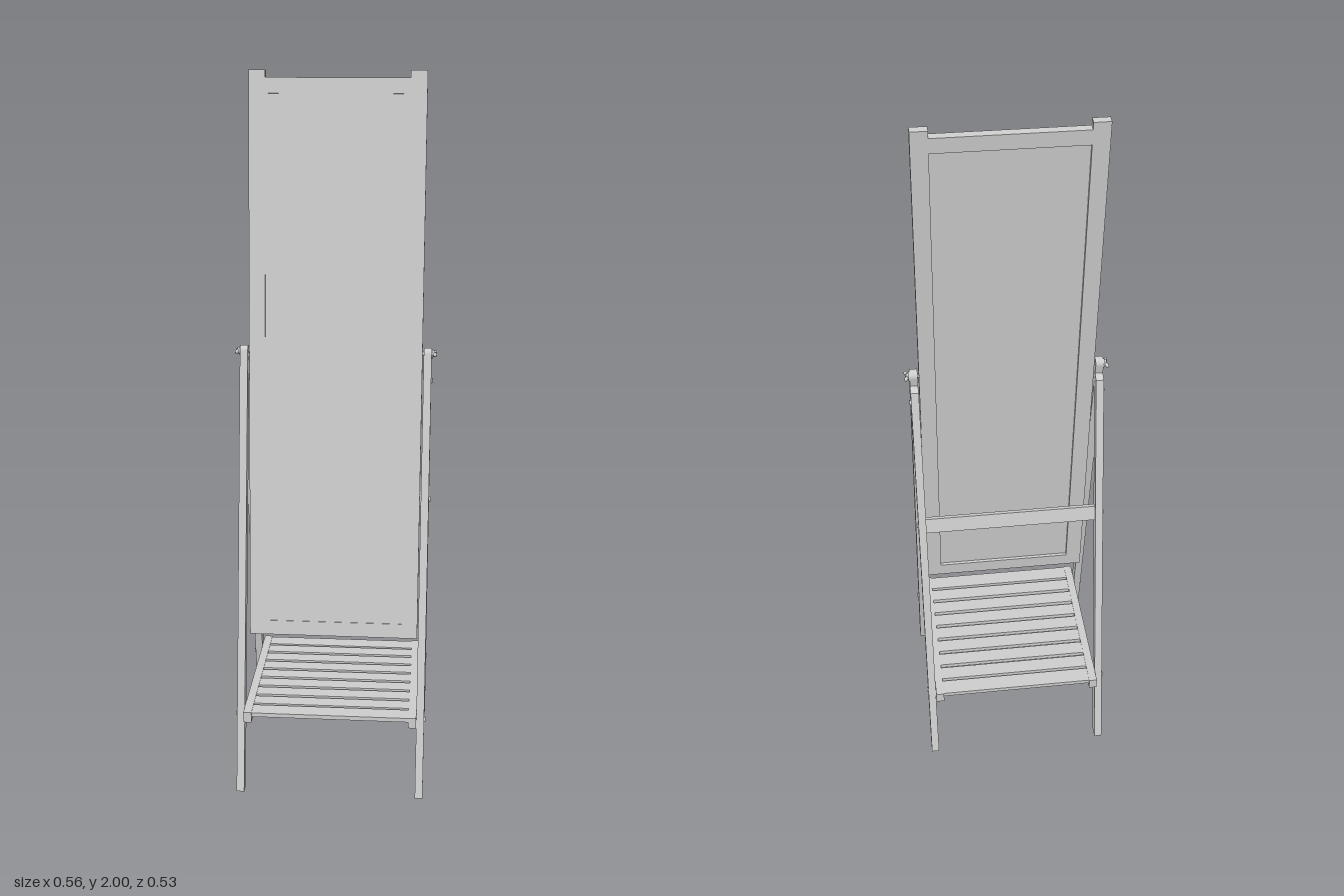
import * as THREE from 'three';

const grey = new THREE.MeshStandardMaterial({ color: 0xcccccc });

function add(parent, name, geometry, x = 0, y = 0, z = 0) {
  const mesh = new THREE.Mesh(geometry, grey);
  mesh.name = name;
  mesh.position.set(x, y, z);
  parent.add(mesh);
  return mesh;
}

const box = (parent, name, w, h, d, x, y, z) =>
  add(parent, name, new THREE.BoxGeometry(w, h, d), x, y, z);

// Cylinder lying along x
function rod(parent, name, r, length, x, y, z, sides = 16) {
  const g = new THREE.CylinderGeometry(r, r, length, sides).rotateZ(Math.PI / 2);
  return add(parent, name, g, x, y, z);
}

// Side profile drawn as (z, y), given a thickness centred on x
function sidePlate(parent, name, shape, thickness, x) {
  const g = new THREE.ExtrudeGeometry(shape, { depth: thickness, bevelEnabled: false, curveSegments: 10 });
  g.translate(0, 0, -thickness / 2).rotateY(-Math.PI / 2);
  return add(parent, name, g, x);
}

export function createModel() {
  const model = new THREE.Group();
  model.name = 'standingMirror';
  const legX = 0.256, legT = 0.022, half = 0.0165;
  const pivotY = 1.24, pivotZ = 0.007;

  // Front leg: flat foot, rounded head around the pivot
  const lean = Math.atan2(0.242, pivotY);
  const front = new THREE.Shape();
  front.moveTo(0.249 - half, 0);
  front.lineTo(0.249 + half, 0);
  front.absarc(pivotZ, pivotY, half, lean, Math.PI + lean, false);
  front.closePath();

  // Back leg: its head is trimmed to butt against the front leg
  const back = new THREE.Shape([
    [-0.268, 0], [-0.234, 0], [0.002, 1.18], [-0.002, 1.212], [-0.024, 1.2],
  ].map(([z, y]) => new THREE.Vector2(z, y)));

  for (const s of [-1, 1]) {
    const side = new THREE.Group();
    side.name = s > 0 ? 'leftSide' : 'rightSide';
    model.add(side);
    sidePlate(side, 'frontLeg', front, legT, s * legX);
    sidePlate(side, 'backLeg', back, legT, s * legX);
    box(side, 'shelfSideRail', 0.023, 0.031, 0.511, s * 0.2335, 0.231, -0.002);

    // Screw heads
    for (const [y, z] of [[0.22, 0.206], [0.22, -0.208], [0.78, -0.09], [1.16, -0.01]])
      rod(side, 'screwHead', 0.007, 0.005, s * 0.2685, y, z);

    // Pivot bolt with wing nut
    const knob = new THREE.Group();
    knob.name = 'wingNut';
    knob.position.set(0, pivotY, pivotZ - 0.004);
    side.add(knob);
    rod(knob, 'pivotBolt', 0.005, 0.055, s * 0.2505, 0, 0);
    rod(knob, 'washer', 0.013, 0.003, s * 0.2685, 0, 0, 24);
    rod(knob, 'nutHub', 0.009, 0.007, s * 0.2725, 0, 0);
    for (const t of [-1, 1]) {
      const wing = add(knob, 'wing', new THREE.SphereGeometry(1, 12, 8), s * 0.276, 0, t * 0.013);
      wing.scale.set(0.005, 0.006, 0.009);
      wing.rotation.y = s * t * 0.4;
    }
  }

  // Shelf slats, the two outer ones slightly wider
  for (let i = -4; i <= 4; i++) {
    const outer = Math.abs(i) === 4;
    box(model, 'shelfSlat', 0.446, 0.012, outer ? 0.05 : 0.045, 0, 0.239, i * 0.057 - 0.001);
  }
  // Tie rods under the shelf
  for (const z of [0.206, -0.208]) rod(model, 'tieRod', 0.004, 0.5, 0, 0.22, z, 10);

  // Brace between the back legs
  const brace = box(model, 'backBrace', 0.49, 0.045, 0.014, 0, 0.78, -0.091);
  brace.rotation.x = 0.197;

  // Tilting mirror
  const mirror = new THREE.Group();
  mirror.name = 'mirror';
  mirror.position.set(0, pivotY, 0.006);
  mirror.rotation.x = -0.107;
  model.add(mirror);
  const top = 0.763, bottom = -0.824, railTop = 0.743, depth = 0.022;
  for (const s of [-1, 1])
    box(mirror, 'mirrorStile', 0.045, top - bottom, depth, s * 0.219, (top + bottom) / 2, 0);
  box(mirror, 'topRail', 0.393, 0.042, depth, 0, railTop - 0.021, 0);
  box(mirror, 'bottomRail', 0.393, 0.042, depth, 0, bottom + 0.021, 0);
  box(mirror, 'mirrorPanel', 0.4, railTop - bottom - 0.08, 0.011, 0, (railTop + bottom) / 2, 0.0035);

  return model;
}
